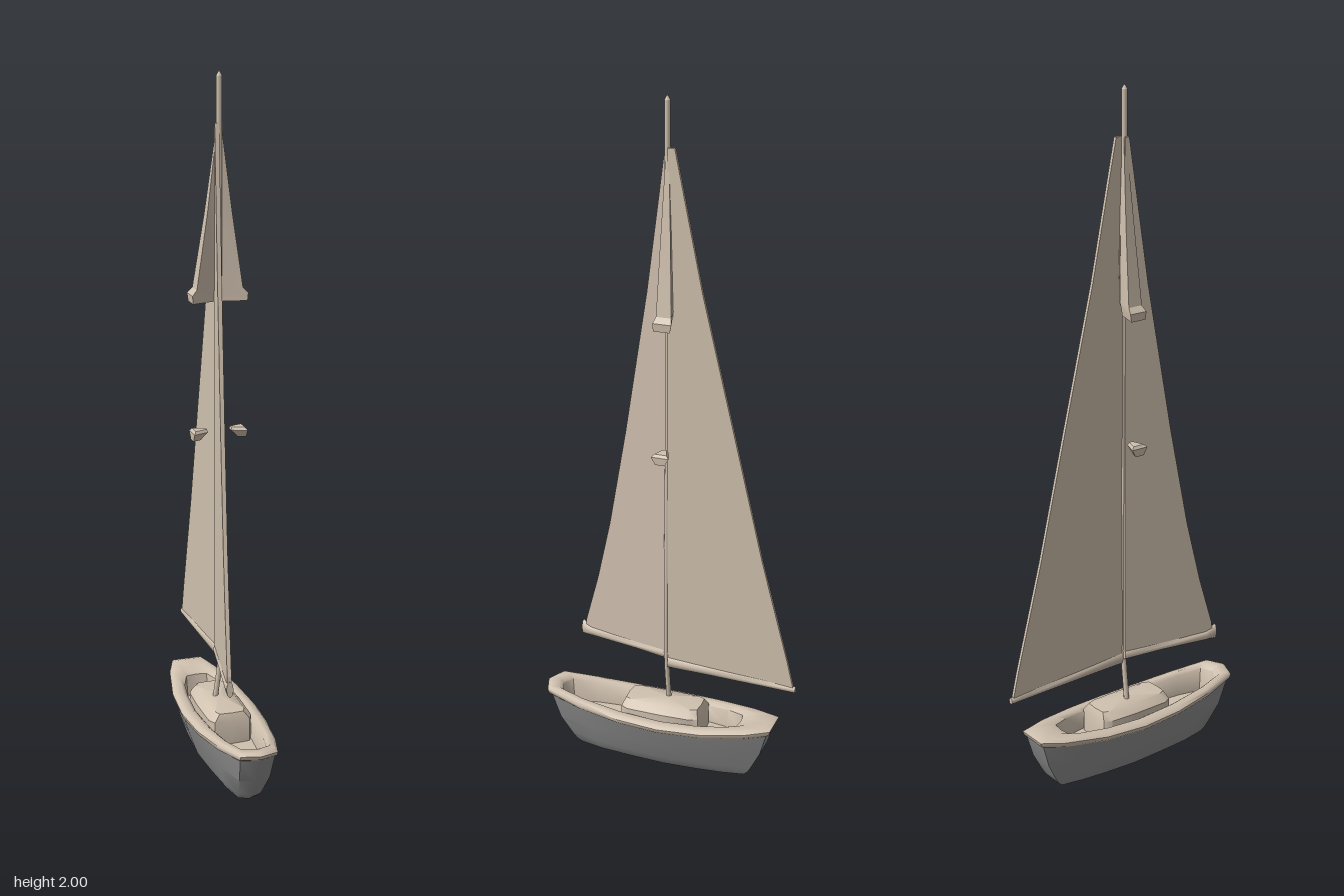
import * as THREE from 'three';
import { toCreasedNormals, mergeVertices } from 'three/addons/utils/BufferGeometryUtils.js';

const cream = new THREE.MeshStandardMaterial({ color: 0xd0c1af });
cream.name = 'cream';
const grey = new THREE.MeshStandardMaterial({ color: 0x8e8e8e });
grey.name = 'hull grey';

// Skins a list of equal-length rings of [x, y, z], upper ring first on outward faces
function loft(rings, crease = 0.7) {
  const n = rings[0].length;
  const index = [];
  for (let r = 0; r < rings.length - 1; r++) {
    for (let i = 0; i < n; i++) {
      const j = (i + 1) % n;
      const a = r * n + i, b = a + n, c = (r + 1) * n + j, d = r * n + j;
      index.push(a, b, c, a, c, d);
    }
  }
  const g = new THREE.BufferGeometry();
  g.setAttribute('position', new THREE.Float32BufferAttribute(rings.flat(2), 3));
  g.setIndex(index);
  return toCreasedNormals(mergeVertices(g), crease);
}

// Half outline [x, z] from bow to stern, mirrored to a closed loop
const mirror = half => [...half, ...half.slice(1, -1).reverse().map(([x, z]) => [-x, z])];
const ring = (loop, y) => loop.map(([x, z]) => [x, typeof y === 'function' ? y(z) : y, z]);
const blend = (a, b, t) => a.map(([x, z], i) => [x + (b[i][0] - x) * t, z + (b[i][1] - z) * t]);
const point = (loop, y, z) => loop.map(() => [0, y, z]);

const outer = mirror([[0, 0.39], [0.055, 0.37], [0.085, 0.26], [0.105, 0.13], [0.112, 0],
  [0.102, -0.13], [0.073, -0.26], [0.045, -0.327], [0, -0.327]]);
const inner = mirror([[0, 0.34], [0.036, 0.325], [0.052, 0.25], [0.064, 0.13], [0.07, 0],
  [0.063, -0.1], [0.052, -0.17], [0.032, -0.22], [0, -0.225]]);
const bottom = mirror([[0, 0.285], [0.028, 0.272], [0.042, 0.2], [0.05, 0.1], [0.055, 0],
  [0.05, -0.1], [0.042, -0.18], [0.03, -0.245], [0, -0.245]]);
const sheer = z => 0.157 + 0.028 * (z / 0.36) ** 2;
const drop = d => z => sheer(z) - d;

export function createModel() {
  const model = new THREE.Group();
  const add = (name, geometry, material = cream) => {
    const mesh = new THREE.Mesh(geometry, material);
    mesh.name = name;
    model.add(mesh);
    return mesh;
  };

  // Cockpit well, rounded gunwale and hull
  const floor = blend(inner, outer, -0.1);
  const underRim = blend(outer, bottom, 0.14);
  add('deckAndGunwale', loft([
    point(inner, 0.1, 0.05), ring(floor, 0.1), ring(inner, drop(0.006)),
    ring(blend(inner, outer, 0.3), drop(-0.003)), ring(blend(inner, outer, 0.8), sheer),
    ring(outer, drop(0.009)), ring(blend(outer, bottom, 0.04), drop(0.02)), ring(underRim, drop(0.025)),
  ], 0.9));
  add('hull', loft([
    ring(underRim, drop(0.025)), ring(blend(outer, bottom, 0.38), 0.085),
    ring(blend(outer, bottom, 0.72), 0.03), ring(blend(outer, bottom, 0.85), 0.012),
    ring(bottom, 0), point(bottom, 0, 0),
  ], 0.9), grey);

  // Cabin trunk with a cambered roof
  const trunk = mirror([[0, 0.135], [0.052, 0.132], [0.064, 0.11], [0.066, 0], [0.062, -0.085],
    [0.05, -0.107], [0, -0.11]]);
  const roof = trunk.map(([x, z]) => [x * 0.68, 0.008 + (z - 0.008) * 0.93]);
  add('cabin', loft([
    point(trunk, 0.198, 0.01), ring(roof, 0.192), ring(trunk, 0.17), ring(trunk, 0.095),
  ]));

  // Mast, thinner between the spreaders, with a pointed tip
  const tube = (name, pts, r) => add(name, new THREE.TubeGeometry(
    new THREE.CatmullRomCurve3(pts.map(p => new THREE.Vector3(...p))), 16, r, 8));
  tube('lowerMast', [[-0.012, 0.185, 0.005], [0.006, 0.34, 0.006], [0.005, 0.65, 0.006], [0, 1.01, 0.005]], 0.008);
  tube('middleMast', [[0, 1, 0.005], [0, 1.2, 0.005], [0, 1.42, 0.005]], 0.006);
  tube('upperMast', [[0, 1.4, 0.005], [0, 1.7, 0.005], [0, 1.985, 0.005]], 0.0085);
  add('mastTip', new THREE.ConeGeometry(0.0085, 0.015, 8)).position.set(0, 1.9925, 0.005);

  // Sails: thin panels swung about the mast, each with a rolled foot
  function sail(name, outline, footPts, x, angle, thick) {
    const shape = new THREE.Shape(outline.map(p => new THREE.Vector2(...p)));
    const panel = new THREE.ExtrudeGeometry(shape, { depth: thick, bevelEnabled: false });
    panel.translate(0, 0, -thick / 2);
    const rings = footPts.map(([u, y, h, w]) => Array.from({ length: 8 }, (_, i) => {
      const a = i * Math.PI / 4;
      return [u, y + h * Math.cos(a), w * Math.sin(a)];
    }));
    const cap = p => Array.from({ length: 8 }, () => [p[0], p[1], 0]);
    const foot = loft([cap(footPts[0]), ...rings, cap(footPts.at(-1))], 0.9);
    const group = new THREE.Group();
    group.name = name;
    [['Panel', panel], ['Foot', foot]].forEach(([part, g]) => {
      const mesh = new THREE.Mesh(g, cream);
      mesh.name = name + part;
      group.add(mesh);
    });
    group.position.x = x;
    group.rotation.y = angle;
    model.add(group);
  }
  sail('mainsail',
    [[0, 0.31], [0.385, 0.305], [0.365, 0.39], [0.283, 0.7], [0.205, 1.03], [0.1, 1.47], [0.02, 1.86], [0, 1.86]],
    [[0.39, 0.305, 0.01, 0.008], [0.3, 0.31, 0.013, 0.009], [0.12, 0.317, 0.016, 0.01], [0, 0.322, 0.02, 0.01]],
    0.008, Math.PI / 2, 0.01);
  sail('jib',
    [[0, 0.335], [0.29, 0.335], [0.288, 0.38], [0.245, 0.53], [0.2, 0.72], [0.143, 1.02], [0.07, 1.45], [0.012, 1.86], [0, 1.86]],
    [[0.303, 0.348, 0.024, 0.01], [0.27, 0.342, 0.017, 0.011], [0.12, 0.34, 0.014, 0.01], [0, 0.338, 0.016, 0.01]],
    -0.006, Math.atan2(-0.295, -0.055), 0.012);

  // Paired rigging: flared upper fins and small wedge spreaders
  for (const s of [1, -1]) {
    const side = s > 0 ? 'left' : 'right';
    // Horizontal sections [inner x, outer x, y, inner half depth, outer half depth, z shift]
    const plate = (name, sections) => {
      const rings = sections.map(([x0, x1, y, d0, d1, z]) => {
        const r = [[x0 * s, y, z + d0], [x1 * s, y, z + d1], [x1 * s, y, z - d1], [x0 * s, y, z - d0]];
        return s > 0 ? r : r.reverse();
      });
      const mid = ([x0, x1, y, , , z]) => Array.from({ length: 4 }, () => [s * (x0 + x1) / 2, y, z]);
      add(side + name, loft([mid(sections[0]), ...rings, mid(sections.at(-1))], 0.5));
    };
    plate('Fin', [
      [0, 0.005, 1.86, 0.004, 0.004, 0.003], [0, 0.035, 1.62, 0.006, 0.014, -0.002],
      [0.004, 0.066, 1.41, 0.006, 0.022, -0.008], [0.01, 0.08, 1.395, 0.006, 0.027, -0.008],
      [0.012, 0.078, 1.372, 0.005, 0.024, -0.006],
    ]);
    plate('Spreader', [
      [0.036, 0.072, 1.01, 0.006, 0.018, 0], [0.034, 0.078, 1.002, 0.01, 0.026, 0],
      [0.055, 0.077, 0.98, 0.006, 0.014, 0],
    ]);
  }
  return model;
}
